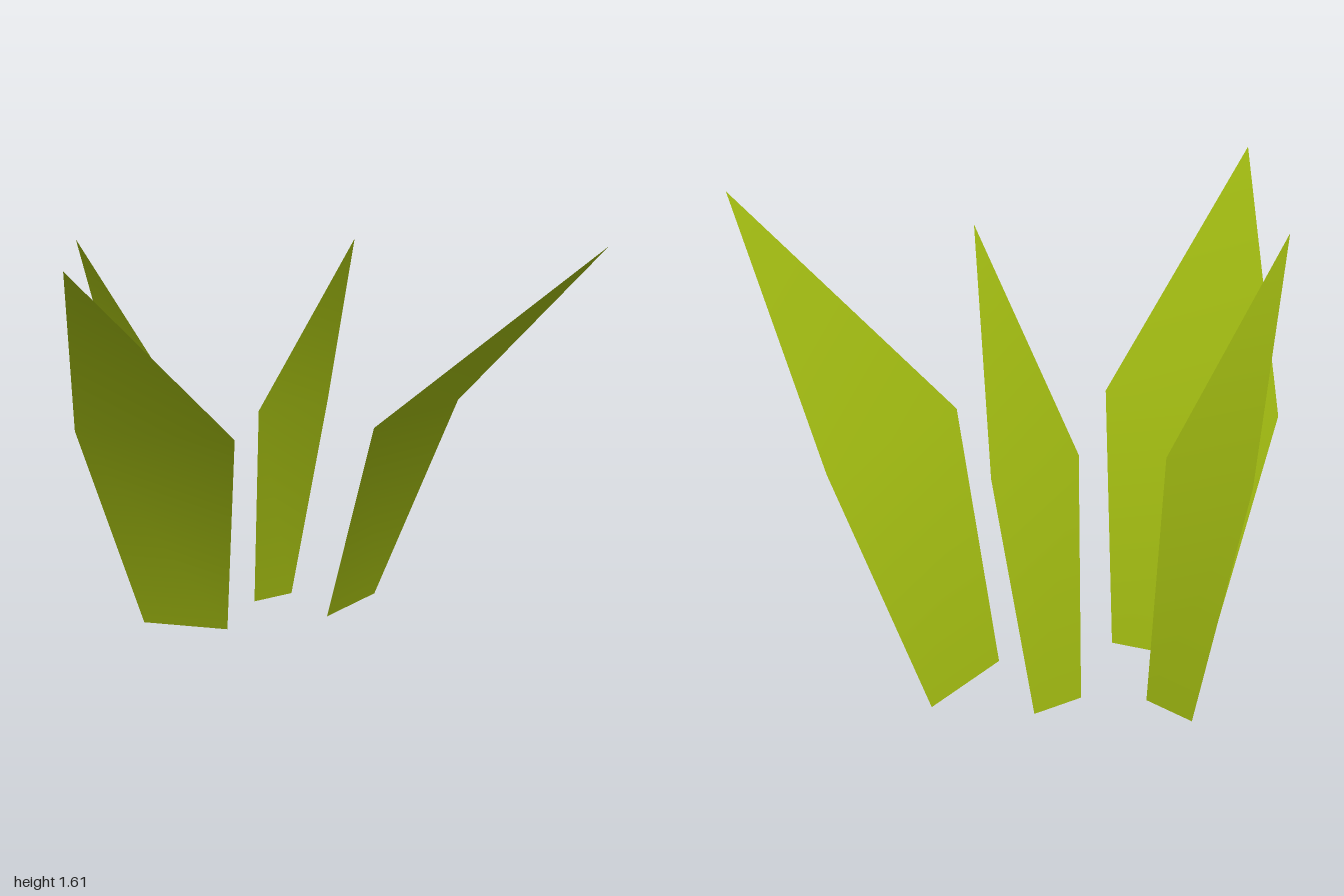
import * as THREE from 'three';

// One blade: narrow foot, wide middle, pointed tip, bending towards +z
function bladeGeometry() {
  const geometry = new THREE.BufferGeometry();
  geometry.setAttribute('position', new THREE.Float32BufferAttribute([
    0.18, 0, 0, -0.18, 0, 0,
    -0.32, 0.88, 0.32, 0.32, 0.88, 0.32,
    0, 1.605, 1.125,
  ], 3));
  geometry.setIndex([0, 1, 2, 0, 2, 3, 3, 2, 4]);
  geometry.computeVertexNormals();
  return geometry;
}

export function createModel() {
  const group = new THREE.Group();
  group.name = 'grassTuft';
  const leafGreen = new THREE.MeshStandardMaterial({ color: 0x98b010, side: THREE.DoubleSide });
  leafGreen.name = 'leafGreen';
  const geometry = bladeGeometry();

  // Foot position, direction of lean in degrees, width and lean scale
  const blades = [
    { name: 'frontBlade', x: -0.66, z: -0.272, turn: 0, size: 1 },
    { name: 'rightBlade', x: -0.78, z: -0.6, turn: -19.7, size: 0.53 },
    { name: 'backBlade', x: -0.403, z: -0.7, turn: 48, size: 0.53 },
    { name: 'leftBlade', x: -0.052, z: -0.685, turn: 68.3, size: 1 },
  ];
  for (const { name, x, z, turn, size } of blades) {
    const blade = new THREE.Mesh(geometry, leafGreen);
    blade.name = name;
    blade.position.set(x, 0, z);
    blade.rotation.y = THREE.MathUtils.degToRad(turn);
    blade.scale.set(size, 1, size);
    group.add(blade);
  }
  return group;
}
